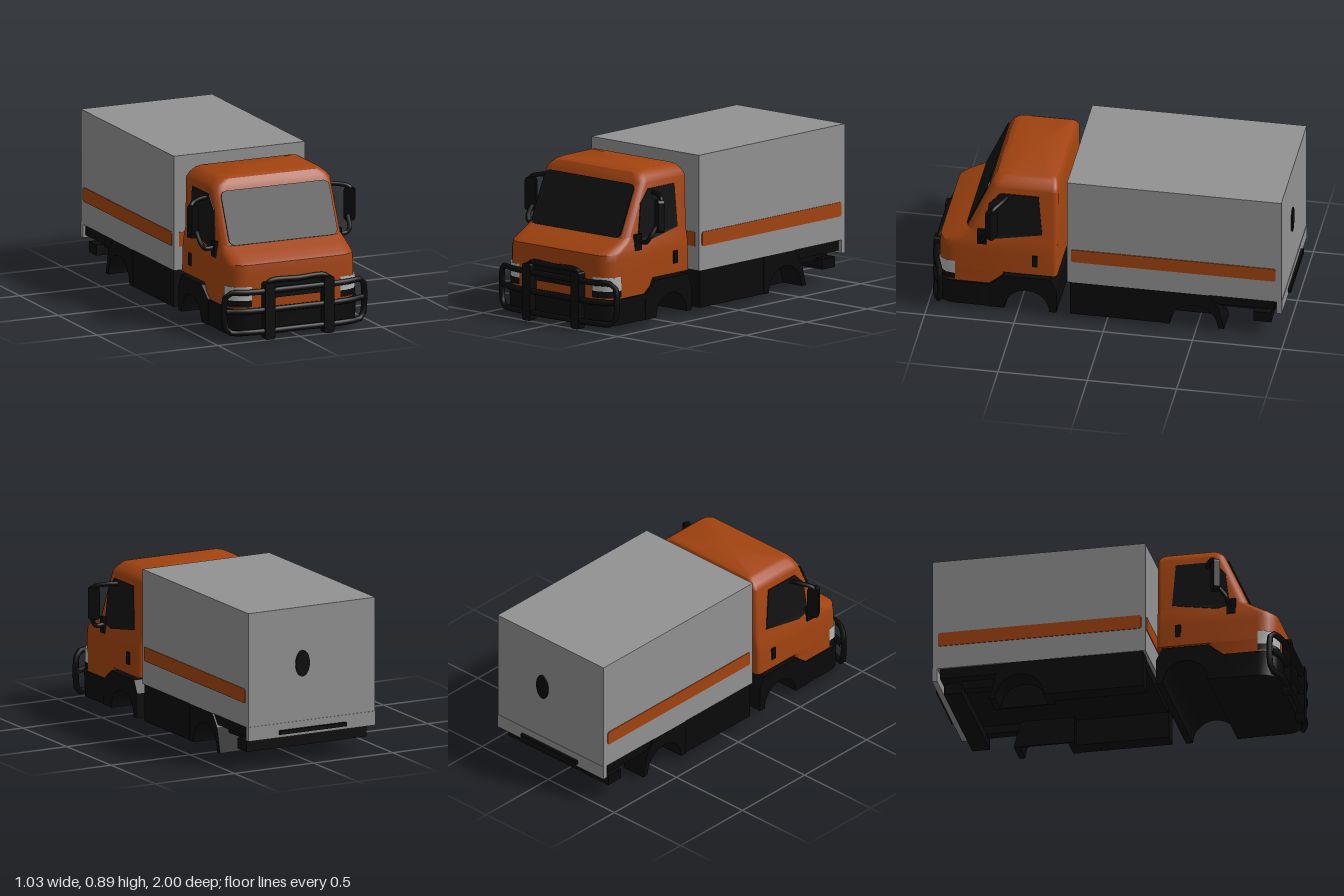
import * as THREE from 'three';
import { toCreasedNormals } from 'three/addons/utils/BufferGeometryUtils.js';

function material(name, color) {
  const m = new THREE.MeshStandardMaterial({ color });
  m.name = name;
  return m;
}

// Rounded rectangle in plan: back edge zb, front edge zf, half width hw, front corner radius r
function ring({ y, zb, zf, hw, r }) {
  const pts = [];
  const corners = [[1, 1, r], [-1, 1, r], [-1, -1, 0.025], [1, -1, 0.025]];
  corners.forEach(([sx, sz, rad], k) => {
    for (let i = 0; i <= 5; i++) {
      const a = (k + i / 5) * Math.PI / 2;
      const cx = sx * (hw - rad), cz = sz > 0 ? zf - rad : zb + rad;
      pts.push([cx + rad * Math.cos(a), y, cz + rad * Math.sin(a)]);
    }
  });
  return pts;
}

// Skin stacked rings and cap both ends
function loft(levels) {
  const pos = [], index = [], n = 24;
  levels.forEach(l => ring(l).forEach(p => pos.push(...p)));
  for (let l = 0; l < levels.length - 1; l++) for (let i = 0; i < n; i++) {
    const a = l * n + i, b = l * n + (i + 1) % n;
    index.push(a, a + n, b, b, a + n, b + n);
  }
  const last = levels.length - 1;
  [0, last].forEach(l => {
    const c = pos.length / 3, { y, zb, zf } = levels[l];
    pos.push(0, y, (zb + zf) / 2);
    for (let i = 0; i < n; i++) {
      const a = l * n + i, b = l * n + (i + 1) % n;
      if (l === 0) index.push(c, a, b); else index.push(c, b, a);
    }
  });
  const g = new THREE.BufferGeometry();
  g.setAttribute('position', new THREE.Float32BufferAttribute(pos, 3));
  g.setIndex(index);
  return toCreasedNormals(g, 0.6);
}

function roundedShape(w, h, r) {
  const s = new THREE.Shape(), x = w / 2, y = h / 2, q = Math.PI / 2;
  s.absarc(x - r, y - r, r, 0, q);
  s.absarc(-x + r, y - r, r, q, 2 * q);
  s.absarc(-x + r, -y + r, r, 2 * q, 3 * q);
  s.absarc(x - r, -y + r, r, 3 * q, 4 * q);
  s.closePath();
  return s;
}

const plate = (shape, depth) =>
  new THREE.ExtrudeGeometry(shape, { depth, bevelEnabled: false, curveSegments: 16 });

// Extrude a (z, y) side profile across x from x0 to x1
function sideExtrude(shape, x0, x1) {
  return plate(shape, x1 - x0).rotateY(-Math.PI / 2).scale(1, 1, 1).translate(x1, 0, 0);
}

const polygon = pts => new THREE.Shape(pts.map(p => new THREE.Vector2(p[0], p[1])));

function tube(pts, r, closed = false) {
  const curve = new THREE.CatmullRomCurve3(pts.map(p => new THREE.Vector3(...p)), closed, 'centripetal');
  return new THREE.TubeGeometry(curve, 48, r, 8, closed);
}

const box = (w, h, d, x, y, z) => new THREE.BoxGeometry(w, h, d).translate(x, y, z);

export function createModel() {
  const orange = material('orange paint', 0xa24310);
  const grey = material('grey panel', 0x929292);
  const black = material('black trim', 0x0a0a0a);
  const glass = material('dark glass', 0x131313);
  const lamp = material('lamp grey', 0xb4b4b4);
  lamp.side = THREE.DoubleSide;

  const truck = new THREE.Group();
  truck.name = 'truck';
  const add = (name, geo, mat) => {
    const m = new THREE.Mesh(geo, mat);
    m.name = name;
    truck.add(m);
    return m;
  };

  // Cab shell and nose
  const levels = [
    [0.255, 0.28, 0.95, 0.387, 0.1], [0.38, 0.28, 0.95, 0.385, 0.1], [0.42, 0.28, 0.945, 0.382, 0.1],
    [0.435, 0.28, 0.925, 0.38, 0.1], [0.47, 0.28, 0.85, 0.375, 0.08], [0.5, 0.28, 0.79, 0.368, 0.06],
    [0.79, 0.28, 0.66, 0.362, 0.05], [0.815, 0.285, 0.648, 0.345, 0.05], [0.84, 0.295, 0.63, 0.315, 0.05],
    [0.85, 0.31, 0.59, 0.295, 0.05]
  ].map(([y, zb, zf, hw, r]) => ({ y, zb, zf, hw, r }));
  add('cab', loft(levels), orange);
  add('nose', loft([{ y: 0.17, zb: 0.62, zf: 0.95, hw: 0.387, r: 0.1 },
    { y: 0.255, zb: 0.57, zf: 0.95, hw: 0.387, r: 0.1 }]), orange);

  // Windscreen on the sloping front
  const screen = add('windscreen', plate(roundedShape(0.66, 0.31, 0.035), 0.007), glass);
  screen.position.set(0, 0.64, 0.729);
  screen.rotation.x = -Math.atan2(0.13, 0.29);

  // Bumper body and front wheel arches
  add('bumper', loft([{ y: 0.03, zb: 0.57, zf: 0.955, hw: 0.395, r: 0.1 },
    { y: 0.175, zb: 0.64, zf: 0.96, hw: 0.398, r: 0.1 }]), black);
  const arch = new THREE.Shape();
  arch.moveTo(0.28, 0.03);
  [[0.28, 0.17], [0.315, 0.24], [0.575, 0.24], [0.66, 0.175], [0.66, 0.03], [0.57, 0.03]]
    .forEach(p => arch.lineTo(...p));
  arch.absarc(0.445, 0.03, 0.125, 0, Math.PI, false);
  add('frontWheelArches', sideExtrude(arch, -0.4, 0.4), black);

  // Grille
  add('grille', box(0.34, 0.1, 0.02, 0, 0.275, 0.95), black);

  // Bull bar
  add('bullBarLoop', tube([
    [0, 0.272, 0.98], [0.3, 0.272, 0.972], [0.4, 0.27, 0.94], [0.42, 0.25, 0.93], [0.418, 0.07, 0.93],
    [0.395, 0.047, 0.94], [0.3, 0.045, 0.972], [0, 0.045, 0.98], [-0.3, 0.045, 0.972], [-0.395, 0.047, 0.94],
    [-0.418, 0.07, 0.93], [-0.42, 0.25, 0.93], [-0.4, 0.27, 0.94], [-0.3, 0.272, 0.972]
  ], 0.017, true), black);
  add('bullBarMiddle', tube([[-0.415, 0.165, 0.93], [-0.3, 0.165, 0.972], [0, 0.165, 0.98],
    [0.3, 0.165, 0.972], [0.415, 0.165, 0.93]], 0.017), black);
  add('bullBarTop', tube([[-0.19, 0.29, 0.97], [-0.17, 0.322, 0.97], [0, 0.325, 0.972],
    [0.17, 0.322, 0.97], [0.19, 0.29, 0.97]], 0.016), black);

  // Cargo box
  add('cargoBox', box(0.8, 0.65, 1.2, 0, 0.565, -0.38), grey);
  add('rearFrame', box(0.8, 0.08, 0.03, 0, 0.205, -0.968), grey);
  add('rearStep', box(0.42, 0.022, 0.02, 0, 0.195, -0.99), black);
  const spot = new THREE.Shape();
  spot.absellipse(0.06, 0.57, 0.045, 0.075, 0, Math.PI * 2);
  add('rearLatch', plate(spot, 0.005).translate(0, 0, -0.986), black);
  add('frontStripe', box(0.74, 0.08, 0.008, 0, 0.415, 0.22), orange);

  // Chassis and rear bumper
  add('chassisFloor', box(0.78, 0.06, 1.14, 0, 0.212, -0.37), black);
  add('rearBumper', box(0.76, 0.06, 0.1, 0, 0.12, -0.87), black);

  for (const s of [1, -1]) {
    const side = s > 0 ? 'left' : 'right';
    const at = (a, b) => s > 0 ? [a, b] : [-b, -a];

    // Side window, door handle and cargo stripe
    const win = polygon([[0.365, 0.51], [0.62, 0.465], [0.69, 0.485], [0.665, 0.68], [0.6, 0.755], [0.385, 0.755]]);
    const winGeo = sideExtrude(win, -0.004, 0.004);
    const p = winGeo.attributes.position;
    for (let i = 0; i < p.count; i++) {
      const y = p.getY(i);
      p.setX(i, p.getX(i) + s * (y < 0.5 ? 0.375 - (y - 0.47) * 0.23 : 0.368 - (y - 0.5) * 0.02));
    }
    winGeo.computeVertexNormals();
    add(side + 'Window', winGeo, glass);
    add(side + 'DoorHandle', box(0.012, 0.07, 0.03, s * 0.387, 0.345, 0.402), black);
    const stripe = plate(roundedShape(1.145, 0.08, 0.012), 0.005).rotateY(s * Math.PI / 2);
    add(side + 'Stripe', stripe.translate(s * 0.399, 0.415, -0.375), orange);

    // Headlamp wrapped round the nose corner, with dark lamp below
    const wrap = [[0.27, 0.956], [0.3, 0.955], [0.334, 0.945], [0.364, 0.925], [0.385, 0.895], [0.392, 0.85]];
    const strip = (y0, y1) => {
      const pos = [], idx = [];
      wrap.forEach(([x, z], i) => {
        pos.push(s * x, y0, z, s * x, y1, z);
        if (i) { const a = 2 * i - 2; idx.push(...(s > 0 ? [a, a + 2, a + 1, a + 1, a + 2, a + 3] : [a, a + 1, a + 2, a + 1, a + 3, a + 2])); }
      });
      const g = new THREE.BufferGeometry();
      g.setAttribute('position', new THREE.Float32BufferAttribute(pos, 3));
      g.setIndex(idx);
      g.computeVertexNormals();
      return g;
    };
    add(side + 'Headlamp', strip(0.222, 0.3), lamp);
    add(side + 'LowerLamp', strip(0.185, 0.222), black);

    // Mirror with its two arms
    const mirror = add(side + 'Mirror', plate(roundedShape(0.065, 0.185, 0.02), 0.035).translate(0, 0, -0.017), black);
    mirror.position.set(s * 0.478, 0.62, 0.63);
    mirror.rotation.y = -s * 0.5;
    add(side + 'MirrorUpperArm', tube([[0.35, 0.73, 0.56], [0.42, 0.73, 0.585], [0.48, 0.715, 0.62],
      [0.49, 0.69, 0.63]].map(([x, y, z]) => [s * x, y, z]), 0.013), black);
    add(side + 'MirrorLowerArm', tube([[0.36, 0.478, 0.69], [0.43, 0.475, 0.69], [0.452, 0.5, 0.685],
      [0.46, 0.56, 0.64]].map(([x, y, z]) => [s * x, y, z]), 0.013), black);
    add(side + 'MirrorMount', box(0.025, 0.09, 0.05, s * 0.375, 0.47, 0.7), black);

    // Bull bar upright
    add(side + 'BullBarUpright', plate(roundedShape(0.06, 0.32, 0.012), 0.05).translate(s * 0.18, 0.16, 0.95), black);

    // Side skirt and rear mudguard with inner wall
    add(side + 'Skirt', box(0.1, 0.21, 0.53, s * 0.345, 0.135, -0.06), black);
    const guard = new THREE.Shape();
    guard.moveTo(-0.315, 0.03);
    [[-0.315, 0.24], [-0.57, 0.24], [-0.625, 0.17], [-0.66, 0.03], [-0.625, 0.03]].forEach(q => guard.lineTo(...q));
    guard.absarc(-0.49, 0.03, 0.135, Math.PI, 0, true);
    add(side + 'Mudguard', sideExtrude(guard, ...at(0.25, 0.4)), black);
    const well = new THREE.Shape();
    well.absarc(-0.49, 0.03, 0.14, 0, Math.PI);
    add(side + 'WheelWell', sideExtrude(well, ...at(0.25, 0.26)), black);

    // Rear chassis rail
    add(side + 'Rail', box(0.06, 0.06, 0.28, s * 0.3, 0.165, -0.77), black);
  }
  return truck;
}
